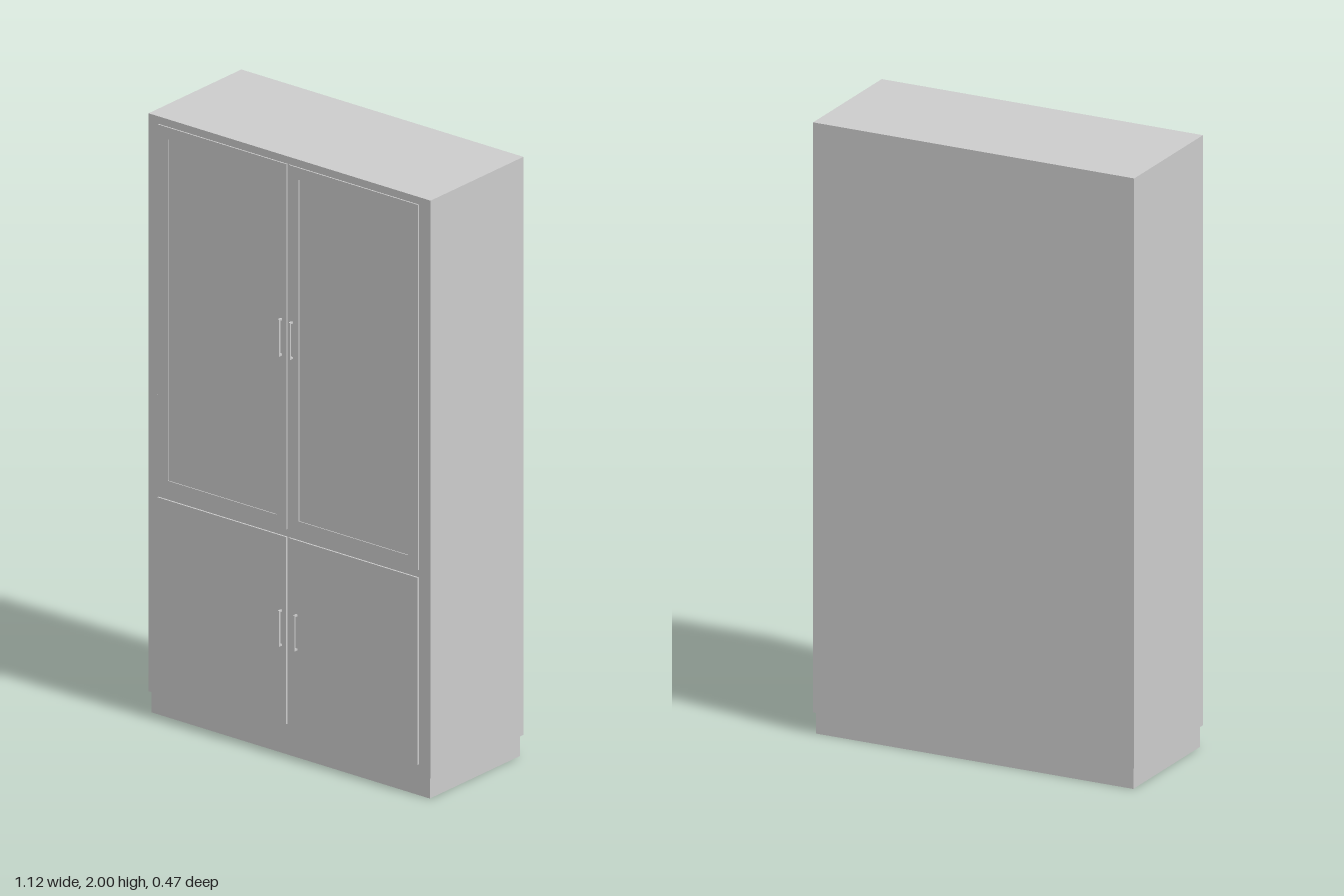
import * as THREE from 'three';

const material = new THREE.MeshStandardMaterial({ color: 0xcccccc });

// Box given by its limits on each axis
function box(name, x0, x1, y0, y1, z0, z1) {
  const mesh = new THREE.Mesh(new THREE.BoxGeometry(x1 - x0, y1 - y0, z1 - z0), material);
  mesh.name = name;
  mesh.position.set((x0 + x1) / 2, (y0 + y1) / 2, (z0 + z1) / 2);
  return mesh;
}

// Door with a raised frame around a recessed panel
function framedDoor(name, x0, x1, y0, y1, z0, z1) {
  const f = 0.04;
  const door = new THREE.Group();
  door.name = name;
  door.add(
    box('doorPanel', x0 + f, x1 - f, y0 + f, y1 - f, z0, z0 + 0.0015),
    box('leftStile', x0, x0 + f, y0, y1, z0, z1),
    box('rightStile', x1 - f, x1, y0, y1, z0, z1),
    box('bottomRail', x0 + f, x1 - f, y0, y0 + f, z0, z1),
    box('topRail', x0 + f, x1 - f, y1 - f, y1, z0, z1)
  );
  return door;
}

// Bar handle on two short posts
function handle(name, x, y0, y1, zDoor) {
  const h = 0.003, front = 0.237;
  const group = new THREE.Group();
  group.name = name;
  group.add(box('handleBar', x - h, x + h, y0, y1, front - 0.006, front));
  for (const y of [y0, y1 - 0.006]) {
    group.add(box('handlePost', x - h, x + h, y, y + 0.006, zDoor, front - 0.006));
  }
  return group;
}

export function createModel() {
  const model = new THREE.Group();
  model.name = 'cupboard';
  const face = 0.218;

  // Body standing on a slightly recessed plinth
  model.add(box('carcass', -0.56, 0.56, 0.07, 2, -0.237, face));
  model.add(box('plinth', -0.553, 0.553, 0, 0.07, -0.23, 0.213));

  // Tall framed upper doors and plain lower doors
  const spans = [['right', -0.52, -0.009], ['left', 0.0, 0.513]];
  for (const [side, x0, x1] of spans) {
    model.add(framedDoor(side + 'UpperDoor', x0, x1, 0.755, 1.975, face, 0.2225));
    model.add(box(side + 'LowerDoor', x0, x1, 0.105, 0.73, face, 0.2235));
  }

  // Handles beside the centre gap
  model.add(handle('rightUpperHandle', -0.029, 1.332, 1.456, 0.2225));
  model.add(handle('leftUpperHandle', 0.014, 1.332, 1.456, 0.2225));
  model.add(handle('rightLowerHandle', -0.029, 0.363, 0.483, 0.2235));
  model.add(handle('leftLowerHandle', 0.032, 0.363, 0.483, 0.2235));

  // Small hinges on the outer edge of the upper door
  for (const y of [1.06, 1.37, 1.68]) {
    model.add(box('hinge', -0.524, -0.52, y - 0.012, y + 0.012, face, 0.221));
  }
  return model;
}
